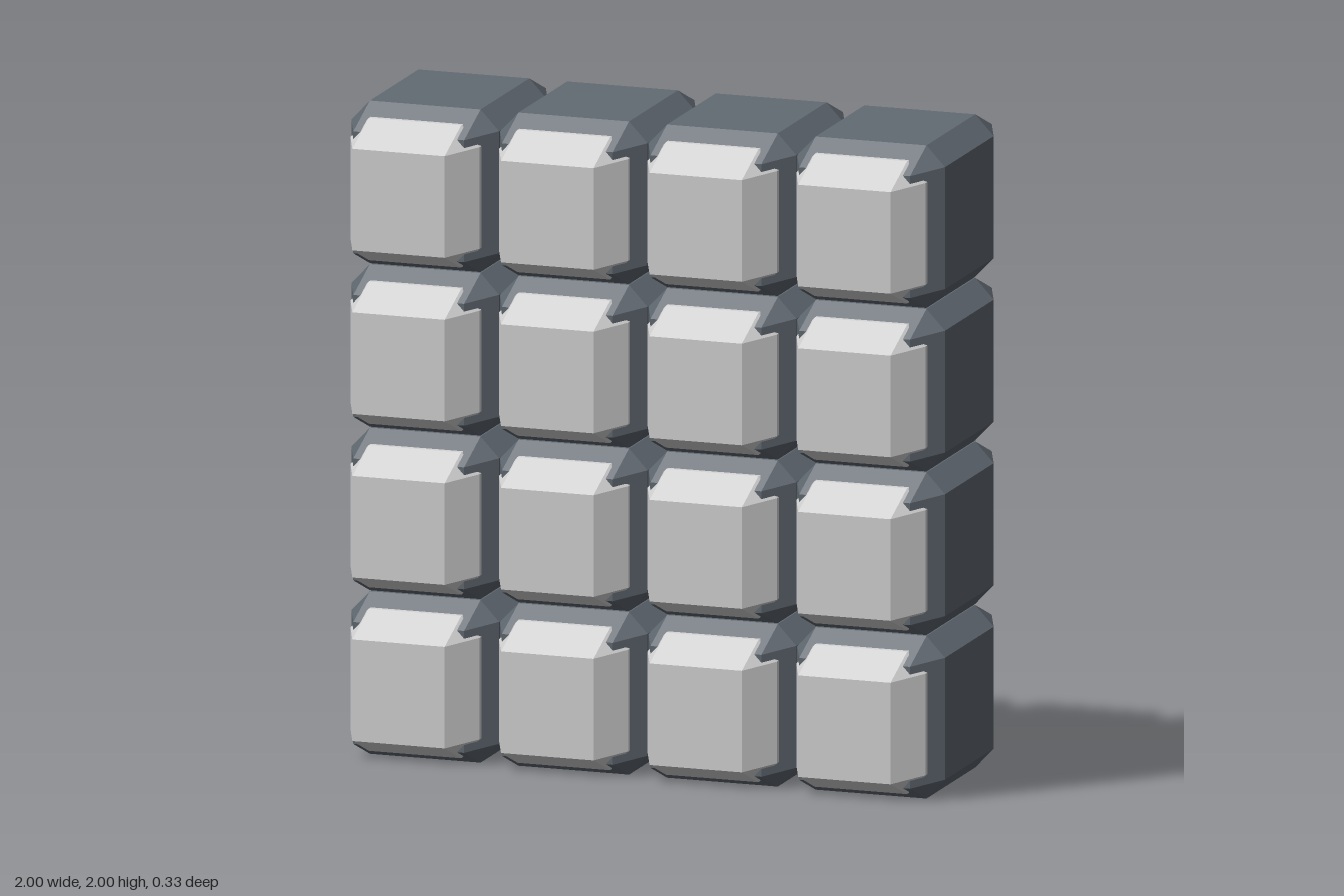
import * as THREE from 'three';
import { ConvexGeometry } from 'three/addons/geometries/ConvexGeometry.js';

const COUNT = 4;      // blocks per side
const PITCH = 0.483;  // spacing of the blocks
const BEVEL = 0.06;
const SHEAR = 0.4;    // shift in +x and +y per unit towards the back

// Box with all edges bevelled, leaning right and up towards its back.
function leaningBlock(half, zFront, zBack) {
  const points = [];
  const add = (x, y, z) => points.push(new THREE.Vector3(x - SHEAR * z, y - SHEAR * z, z));
  const inner = half - BEVEL;
  for (const sx of [-1, 1]) for (const sy of [-1, 1]) {
    for (const [z, zIn] of [[zFront, zFront - BEVEL], [zBack, zBack + BEVEL]]) {
      add(sx * inner, sy * inner, z);
      add(sx * half, sy * inner, zIn);
      add(sx * inner, sy * half, zIn);
    }
  }
  return new ConvexGeometry(points);
}

export function createModel() {
  const model = new THREE.Group();
  model.name = 'blockPanel';

  const darkMaterial = new THREE.MeshStandardMaterial({ color: 0x5c646c, flatShading: true });
  const lightMaterial = new THREE.MeshStandardMaterial({ color: 0xcccccc, flatShading: true });

  // Dark surround and the narrower pale core that stands out in front of it
  const surroundGeometry = leaningBlock(0.24, 0.13, -0.167);
  const coreGeometry = leaningBlock(0.21, 0.167, -0.163);

  for (let row = 0; row < COUNT; row++) {
    for (let column = 0; column < COUNT; column++) {
      const block = new THREE.Group();
      block.name = `block_${row + 1}_${column + 1}`;
      block.position.set(-0.732 + column * PITCH, 0.268 + row * PITCH, 0);

      const surround = new THREE.Mesh(surroundGeometry, darkMaterial);
      surround.name = 'surround';
      const core = new THREE.Mesh(coreGeometry, lightMaterial);
      core.name = 'core';
      block.add(surround, core);
      model.add(block);
    }
  }
  return model;
}
